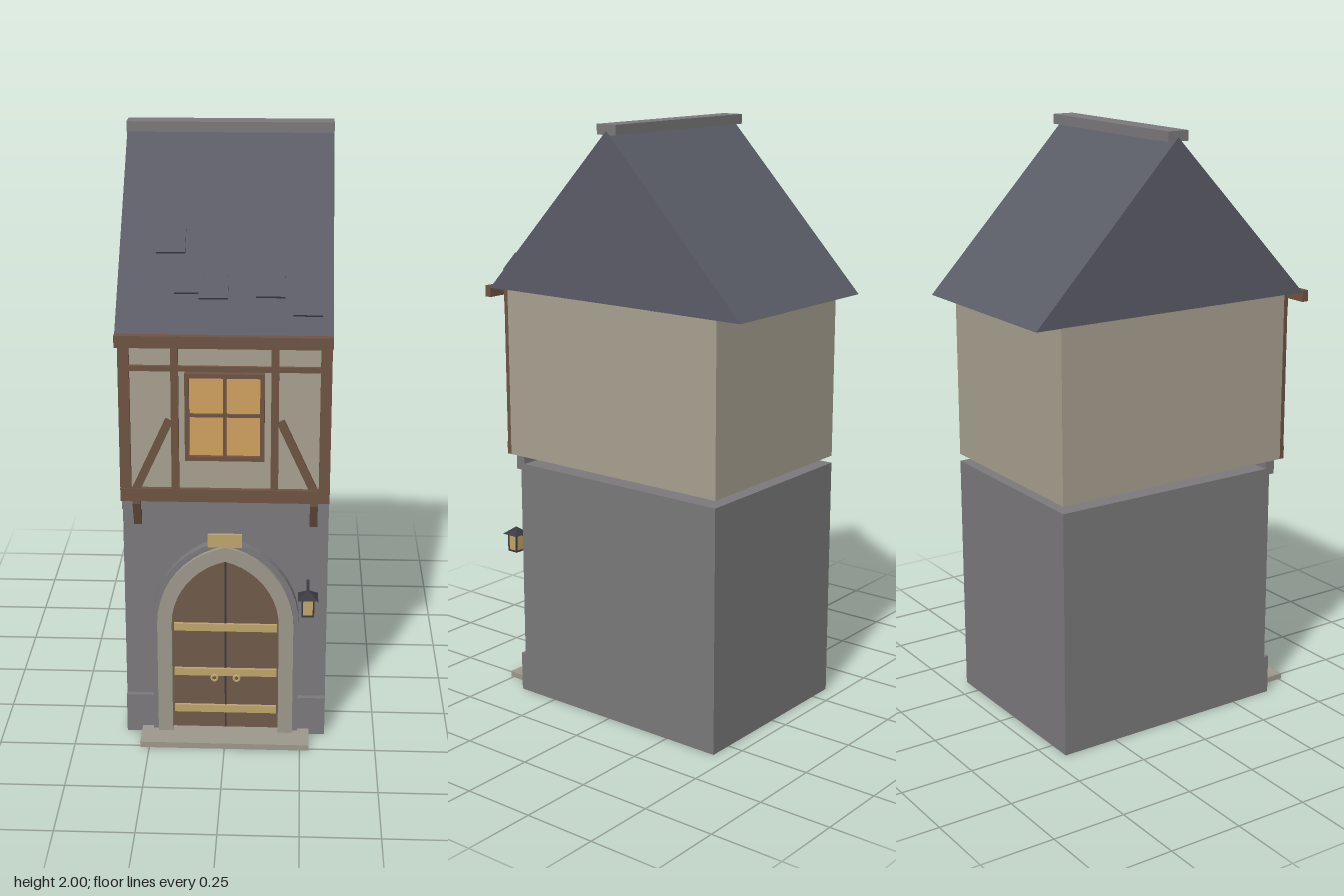
import * as THREE from 'three';

const mat = (name, color) => {
  const m = new THREE.MeshStandardMaterial({ color, flatShading: true });
  m.name = name;
  return m;
};

export function createModel() {
  const house = new THREE.Group();
  house.name = 'townHouse';

  const stone = mat('stone', 0x7b797b);
  const plaster = mat('plaster', 0xa8a090);
  const slate = mat('slate', 0x5a5c66);
  const timber = mat('timber', 0x6e5443);
  const doorWood = mat('doorWood', 0x6f5a4a);
  const trim = mat('trimStone', 0x9e988c);
  const brass = mat('brass', 0xbfa56c);
  const glass = mat('warmGlass', 0xd0a060);
  const iron = mat('iron', 0x3a3a40);

  const add = (name, geometry, material, x = 0, y = 0, z = 0) => {
    const m = new THREE.Mesh(geometry, material);
    m.name = name;
    m.position.set(x, y, z);
    house.add(m);
    return m;
  };
  // Box given by its limits on each axis
  const box = (name, material, x0, x1, y0, y1, z0, z1) =>
    add(name, new THREE.BoxGeometry(x1 - x0, y1 - y0, z1 - z0), material,
      (x0 + x1) / 2, (y0 + y1) / 2, (z0 + z1) / 2);
  // Flat bar between two points in a plane of constant z
  const bar = (name, material, ax, ay, bx, by, width, z0, z1) => {
    const m = add(name, new THREE.BoxGeometry(Math.hypot(bx - ax, by - ay), width, z1 - z0),
      material, (ax + bx) / 2, (ay + by) / 2, (z0 + z1) / 2);
    m.rotation.z = Math.atan2(by - ay, bx - ax);
    return m;
  };
  const extrude = (shape, depth) =>
    new THREE.ExtrudeGeometry(shape, { depth, bevelEnabled: false });

  const W = 0.333;

  // Ground floor and upper floor, with the open joint between them
  box('groundFloor', stone, -W, W, 0, 0.837, -0.445, 0.385);
  box('upperFloor', plaster, -W, W, 0.862, 1.433, -0.445, 0.43);
  box('stringCourse', stone, -W, W, 0.815, 0.862, 0.37, 0.405);

  // Roof prism along x
  const roofZ = -0.012, eaveY = 1.432, apexY = 1.98, half = 0.522;
  const gable = new THREE.Shape([
    new THREE.Vector2(-half, eaveY), new THREE.Vector2(half, eaveY), new THREE.Vector2(0, apexY)]);
  const roof = add('roof', extrude(gable, 2 * W), slate, -W, 0, roofZ);
  roof.rotation.y = Math.PI / 2;
  box('ridgeCap', stone, -W, W, 1.967, 2, roofZ - 0.038, roofZ + 0.038);
  box('eavesBeam', timber, -W, W, 1.4, 1.438, 0.509, 0.533);

  // Raised slates on the front slope
  const pitch = Math.atan2(apexY - eaveY, half);
  for (const [x, y] of [[-0.172, 1.677], [-0.11, 1.575], [-0.035, 1.562], [0.14, 1.567], [0.255, 1.522]]) {
    const z = roofZ + half * (apexY - y) / (apexY - eaveY);
    const tile = add('raisedSlate', new THREE.BoxGeometry(0.09, 0.01, 0.085), slate, x, y, z + 0.023);
    tile.rotation.x = pitch;
  }

  // Timber frame on the upper front
  box('sillBeam', timber, -W, W, 0.862, 0.905, 0.43, 0.447);
  box('headBeam', timber, -W, W, 1.392, 1.432, 0.43, 0.447);
  box('rail', timber, -W, W, 1.297, 1.314, 0.43, 0.442);
  for (const s of [-1, 1]) {
    add('cornerPost', new THREE.BoxGeometry(0.035, 0.53, 0.015), timber, s * 0.3155, 1.147, 0.4375);
    add('innerPost', new THREE.BoxGeometry(0.024, 0.49, 0.014), timber, s * 0.157, 1.148, 0.437);
    bar('brace', timber, s * 0.283, 0.9, s * 0.175, 1.135, 0.026, 0.43, 0.441);
    // Jetty bracket, tapering down to the wall
    const profile = new THREE.Shape([
      new THREE.Vector2(-0.385, 0.76), new THREE.Vector2(-0.385, 0.862),
      new THREE.Vector2(-0.432, 0.862), new THREE.Vector2(-0.432, 0.845), new THREE.Vector2(-0.395, 0.76)]);
    const bracket = add('jettyBracket', extrude(profile, 0.025), timber, s * 0.284 - 0.0125, 0, 0);
    bracket.rotation.y = Math.PI / 2;
  }

  // Window
  box('windowGlass', glass, -0.115, 0.115, 1.015, 1.285, 0.432, 0.44);
  for (const s of [-1, 1]) {
    add('windowJamb', new THREE.BoxGeometry(0.014, 0.288, 0.027), timber, s * 0.118, 1.15, 0.4435);
    add('windowRail', new THREE.BoxGeometry(0.25, 0.014, 0.025), timber, 0, 1.15 + s * 0.137, 0.4425);
  }
  box('mullion', timber, -0.005, 0.005, 1.015, 1.285, 0.438, 0.45);
  box('transom', timber, -0.115, 0.115, 1.15, 1.16, 0.438, 0.449);

  // Pointed arch outline, from right foot over the apex to left foot
  const spring = 0.42, offset = 0.06;
  const archPoints = (w, foot) => {
    const R = w + offset, top = Math.acos(offset / R), n = 10;
    const right = [new THREE.Vector2(w, foot)];
    for (let i = 0; i <= n; i++) {
      const a = top * i / n;
      right.push(new THREE.Vector2(R * Math.cos(a) - offset, spring + R * Math.sin(a)));
    }
    const left = right.slice(0, -1).reverse().map(p => new THREE.Vector2(-p.x, p.y));
    return [...right, ...left];
  };
  const archRing = (outer, inner) =>
    new THREE.Shape([...archPoints(outer, 0.005), ...archPoints(inner, 0.005).reverse()]);
  add('outerArch', extrude(archRing(0.242, 0.222), 0.035), stone, 0, 0, 0.383);
  add('innerArch', extrude(archRing(0.224, 0.176), 0.05), trim, 0, 0, 0.383);
  box('keystone', brass, -0.055, 0.055, 0.705, 0.75, 0.438, 0.449);

  // Double door with straps and ring handles
  add('door', extrude(new THREE.Shape(archPoints(0.178, 0.01)), 0.017), doorWood, 0, 0, 0.383);
  box('doorSeam', iron, -0.003, 0.003, 0.02, 0.64, 0.398, 0.402);
  for (const y of [0.093, 0.231, 0.397])
    box('doorStrap', brass, -0.17, 0.17, y - 0.013, y + 0.013, 0.398, 0.41);
  for (const s of [-1, 1])
    add('ringHandle', new THREE.TorusGeometry(0.01, 0.004, 6, 12), brass, s * 0.037, 0.212, 0.413);

  // Plinths and doorstep
  for (const s of [-1, 1])
    add('plinth', new THREE.BoxGeometry(0.095, 0.137, 0.02), stone, s * (W - 0.0475), 0.0685, 0.393);
  box('doorstep', trim, -0.28, 0.28, 0, 0.02, 0.385, 0.51);

  // Wall lantern
  const lx = 0.27, lz = 0.478;
  add('lanternBody', new THREE.BoxGeometry(0.036, 0.062, 0.036), brass, lx, 0.52, lz);
  const cap = add('lanternCap', new THREE.ConeGeometry(0.046, 0.025, 4), iron, lx, 0.562, lz);
  cap.rotation.y = Math.PI / 4;
  box('lanternBase', iron, lx - 0.02, lx + 0.02, 0.486, 0.492, lz - 0.02, lz + 0.02);
  for (const sx of [-1, 1]) for (const sz of [-1, 1])
    add('lanternPost', new THREE.BoxGeometry(0.005, 0.062, 0.005), iron, lx + sx * 0.018, 0.52, lz + sz * 0.018);
  box('lanternArm', iron, lx - 0.005, lx + 0.005, 0.557, 0.567, 0.385, lz);
  const strut = add('lanternStrut', new THREE.BoxGeometry(0.008, 0.008, 0.085), iron, lx, 0.53, 0.418);
  strut.rotation.x = -Math.atan2(0.055, 0.06);

  return house;
}
